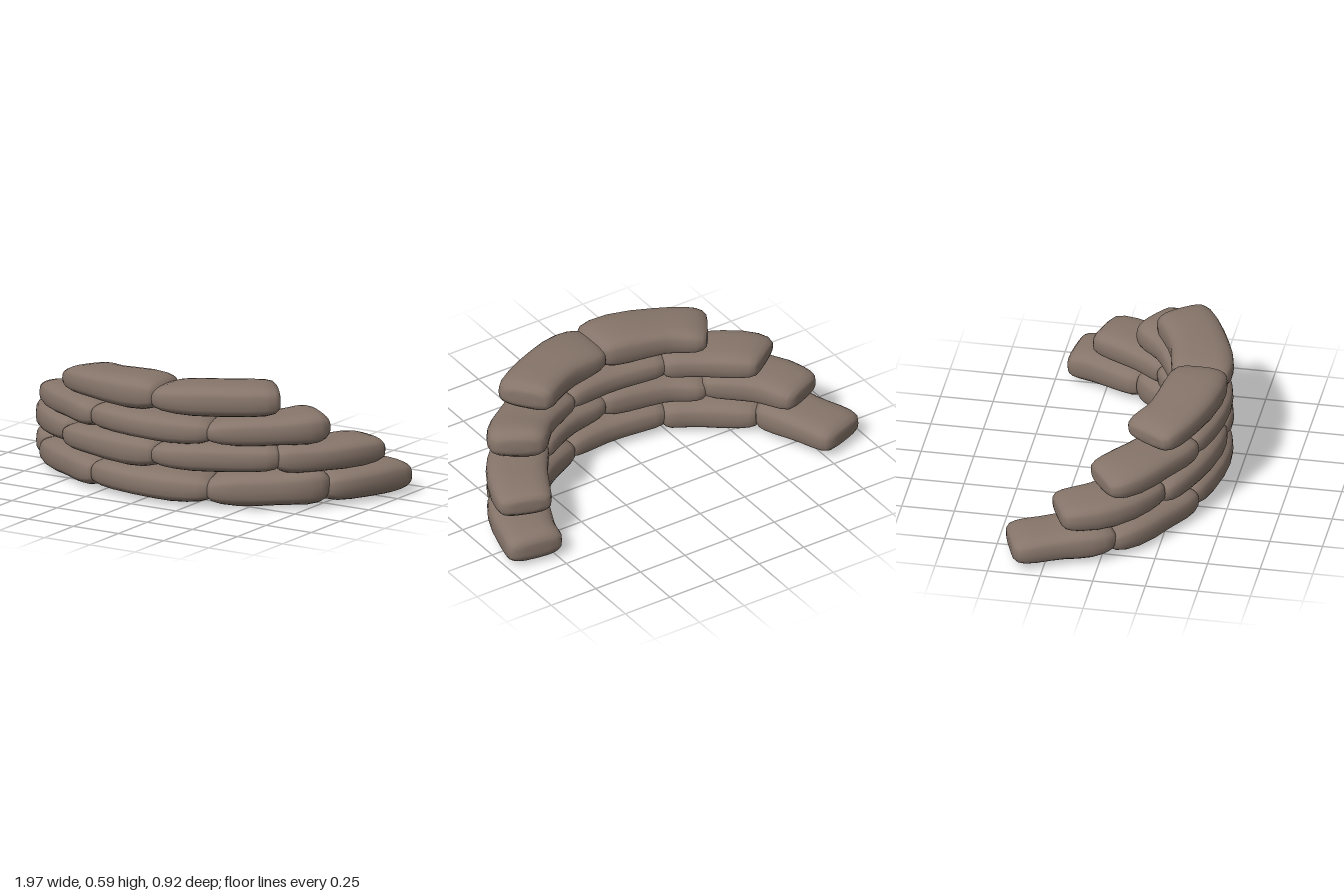
import * as THREE from 'three';

// Centre line of the curved wall; bags start and end on these points [x, z]
const LINE = [[-0.93, -0.62], [-0.86, -0.41], [-0.77, -0.2], [-0.68, -0.01], [-0.46, 0.16], [-0.27, 0.26],
  [0.07, 0.315], [0.31, 0.27], [0.57, 0.13], [0.71, -0.02], [0.83, -0.28], [0.862, -0.42], [0.88, -0.6]];
const curve = new THREE.CatmullRomCurve3(LINE.map(([x, z]) => new THREE.Vector3(x, 0, z)));

// Each bag: first point, last point, bottom, top at its start, top at its end
const ROWS = [
  [[1, 3, 0.01, 0.15, 0.17], [3, 5, 0.0, 0.145, 0.15], [5, 7, 0.01, 0.155, 0.15], [7, 9, 0.005, 0.155, 0.19], [9, 11, 0.005, 0.16, 0.16]],
  [[2, 4, 0.155, 0.295, 0.305], [4, 6, 0.15, 0.275, 0.31], [6, 8, 0.165, 0.295, 0.31], [8, 10, 0.16, 0.305, 0.3]],
  [[3, 5, 0.285, 0.42, 0.425], [5, 7, 0.29, 0.425, 0.425], [7, 9, 0.295, 0.42, 0.46]],
  [[4, 6, 0.425, 0.55, 0.595], [6, 8, 0.43, 0.57, 0.595]],
];

// Along a bag: position, width scale, height scale
const HALF = [[-0.03, 0, 0], [-0.03, 0.45, 0.35], [-0.02, 0.75, 0.55], [0.02, 0.9, 0.78], [0.09, 0.97, 0.92], [0.2, 1, 0.99], [0.35, 1, 1]];
const STATIONS = [...HALF, [0.5, 0.99, 0.99], ...HALF.map(([u, w, h]) => [1 - u, w, h]).reverse()];
const SIDES = 24;

// Rounded-box cross-section swept along the centre line
function bagGeometry([from, to, bottom, topA, topB], seed) {
  const pos = [], idx = [];
  const round = (v) => Math.sign(v) * Math.pow(Math.abs(v), 0.66);
  for (const [u, ws, hs] of STATIONS) {
    const t = (from + (to - from) * u) / (LINE.length - 1);
    const p = curve.getPoint(t), d = curve.getTangent(t);
    const top = topA + (topB - topA) * THREE.MathUtils.clamp(u, 0, 1);
    const mid = (top + bottom) / 2;
    const w = 0.143 * ws * (1 + 0.03 * Math.sin(u * 7 + seed * 2.1));
    const h = (top - bottom) / 2 * hs * (1 + 0.03 * Math.sin(u * 9 + seed * 1.7));
    for (let j = 0; j < SIDES; j++) {
      const a = j / SIDES * Math.PI * 2;
      const s = w * round(Math.cos(a));
      pos.push(p.x - d.z * s, Math.max(0, mid + h * round(Math.sin(a))), p.z + d.x * s);
    }
  }
  for (let i = 0; i < STATIONS.length - 1; i++) {
    for (let j = 0; j < SIDES; j++) {
      const k = (j + 1) % SIDES, a = i * SIDES + j, c = i * SIDES + k;
      idx.push(a, a + SIDES, c, a + SIDES, c + SIDES, c);
    }
  }
  const g = new THREE.BufferGeometry();
  g.setAttribute('position', new THREE.Float32BufferAttribute(pos, 3));
  g.setIndex(idx);
  g.computeVertexNormals();
  return g;
}

export function createModel() {
  const model = new THREE.Group();
  model.name = 'sandbagWall';
  const burlap = new THREE.MeshStandardMaterial({ color: 0x86756a });
  burlap.name = 'burlap brown';

  // Four stacked rows, each shorter than the one below
  ROWS.forEach((bags, r) => {
    const row = new THREE.Group();
    row.name = `sandbagRow${r + 1}`;
    bags.forEach((bag, i) => {
      const mesh = new THREE.Mesh(bagGeometry(bag, bag[0]), burlap);
      mesh.name = `sandbag${i + 1}`;
      row.add(mesh);
    });
    model.add(row);
  });
  return model;
}
